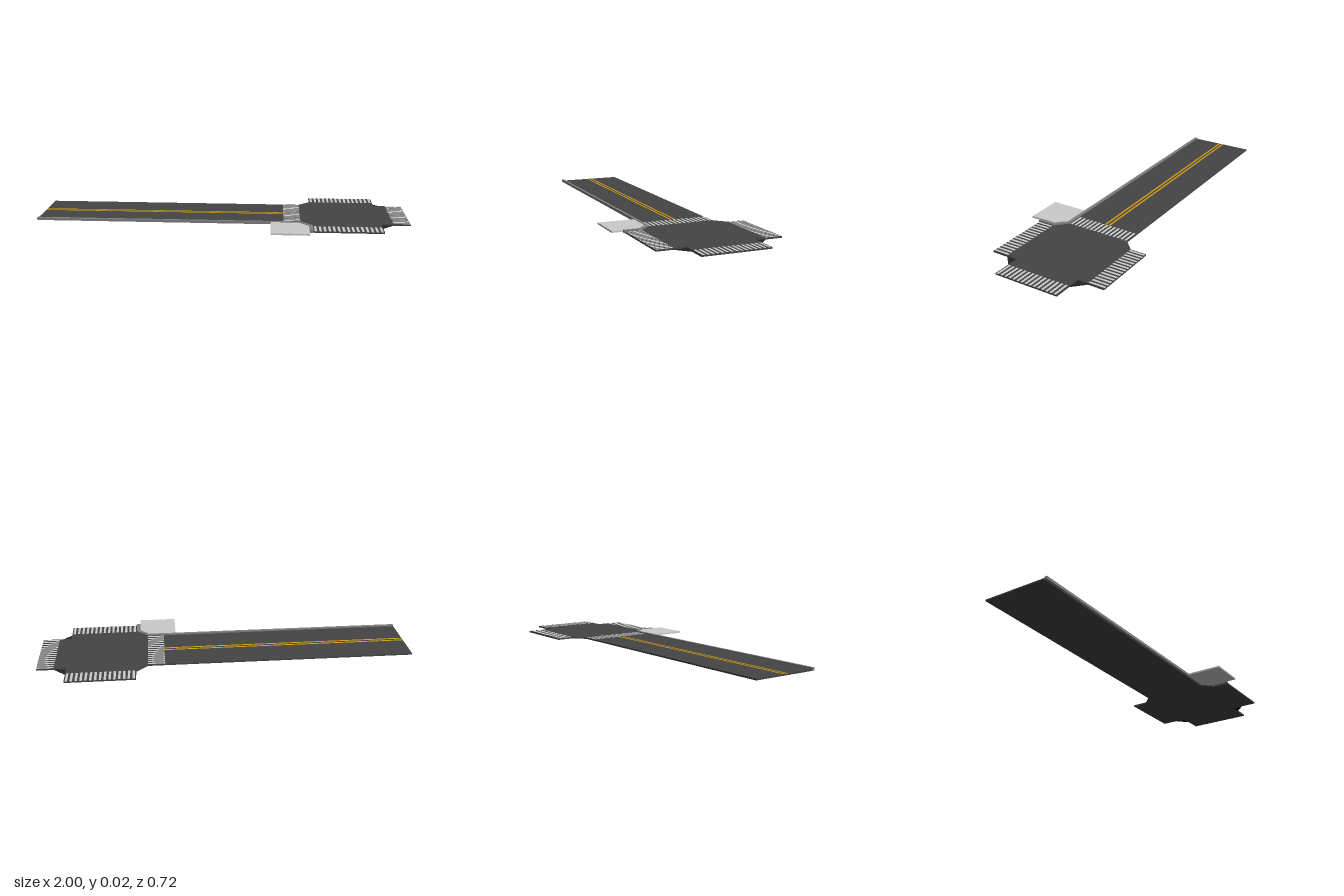
import * as THREE from 'three';

const material = (color) => new THREE.MeshStandardMaterial({ color, roughness: 0.9 });

// Flat slab: outline given as [x, z] points, standing between two heights
function slab(name, points, y0, y1, mat) {
  const shape = new THREE.Shape(points.map(([x, z]) => new THREE.Vector2(x, -z)));
  const geo = new THREE.ExtrudeGeometry(shape, { depth: y1 - y0, bevelEnabled: false });
  geo.rotateX(-Math.PI / 2).translate(0, y0, 0);
  const mesh = new THREE.Mesh(geo, mat);
  mesh.name = name;
  return mesh;
}

const rect = (x0, x1, z0, z1) => [[x0, z0], [x1, z0], [x1, z1], [x0, z1]];

export function createModel() {
  const group = new THREE.Group();
  group.name = 'roadJunction';
  const asphalt = material(0x444444);
  const darkAsphalt = material(0x222222);
  const yellow = material(0xd9a010);
  const white = material(0xcccccc);
  const curbGrey = material(0x808080);
  const top = 0.008, paint = 0.0086;

  // Road
  group.add(slab('road', rect(-1, 0.33, -0.21, 0.146), 0, top, asphalt));

  // Double centre line
  for (const z of [-0.041, -0.019]) {
    group.add(slab('centreLine', rect(-1, 0.33, z - 0.005, z + 0.005), top, paint, yellow));
  }

  // Junction plate: chamfered toward the road, notched on the far side
  group.add(slab('junction', [
    [0.33, -0.21], [0.42, -0.21], [0.482, -0.27], [0.482, -0.358],
    [0.846, -0.358], [0.846, -0.21], [1, -0.21], [1, 0.145],
    [0.846, 0.145], [0.846, 0.292], [0.482, 0.292], [0.482, 0.206],
    [0.42, 0.145], [0.33, 0.145],
  ], 0, top, asphalt));

  // Low dark fillets in the two notches
  for (const [inner, outer] of [[-0.21, -0.27], [0.145, 0.206]]) {
    group.add(slab('notchFloor',
      [[0.846, inner], [0.846, outer], [0.908, inner]], 0, 0.001, darkAsphalt));
  }

  // Striped crossings on the four arms
  const crossing = (name, x0, x1, z0, z1, alongX) => {
    const set = new THREE.Group();
    set.name = name;
    const count = 15;
    const start = alongX ? z0 : x0;
    const pitch = ((alongX ? z1 : x1) - start) / count;
    for (let i = 0; i < count; i++) {
      const a = start + pitch * (i + 0.25), b = a + pitch * 0.5;
      const outline = alongX ? rect(x0, x1, a, b) : rect(a, b, z0, z1);
      set.add(slab('stripe', outline, top, paint, white));
    }
    group.add(set);
  };
  crossing('roadCrossing', 0.33, 0.42, -0.21, 0.145, true);
  crossing('farCrossing', 0.91, 1, -0.21, 0.145, true);
  crossing('backCrossing', 0.482, 0.846, -0.358, -0.27, false);
  crossing('frontCrossing', 0.482, 0.846, 0.206, 0.292, false);

  // Raised curb that follows the road and turns the corner
  group.add(slab('curb', [
    [-1, 0.145], [0.42, 0.145], [0.482, 0.206], [0.482, 0.298],
    [0.462, 0.298], [0.462, 0.212], [0.412, 0.16], [-1, 0.16],
  ], 0.001, 0.015, curbGrey));

  // Pavement slab behind the curb
  group.add(slab('pavement', [
    [0.262, 0.158], [0.412, 0.158], [0.462, 0.21], [0.462, 0.357], [0.262, 0.357],
  ], 0.004, 0.013, white));

  return group;
}
